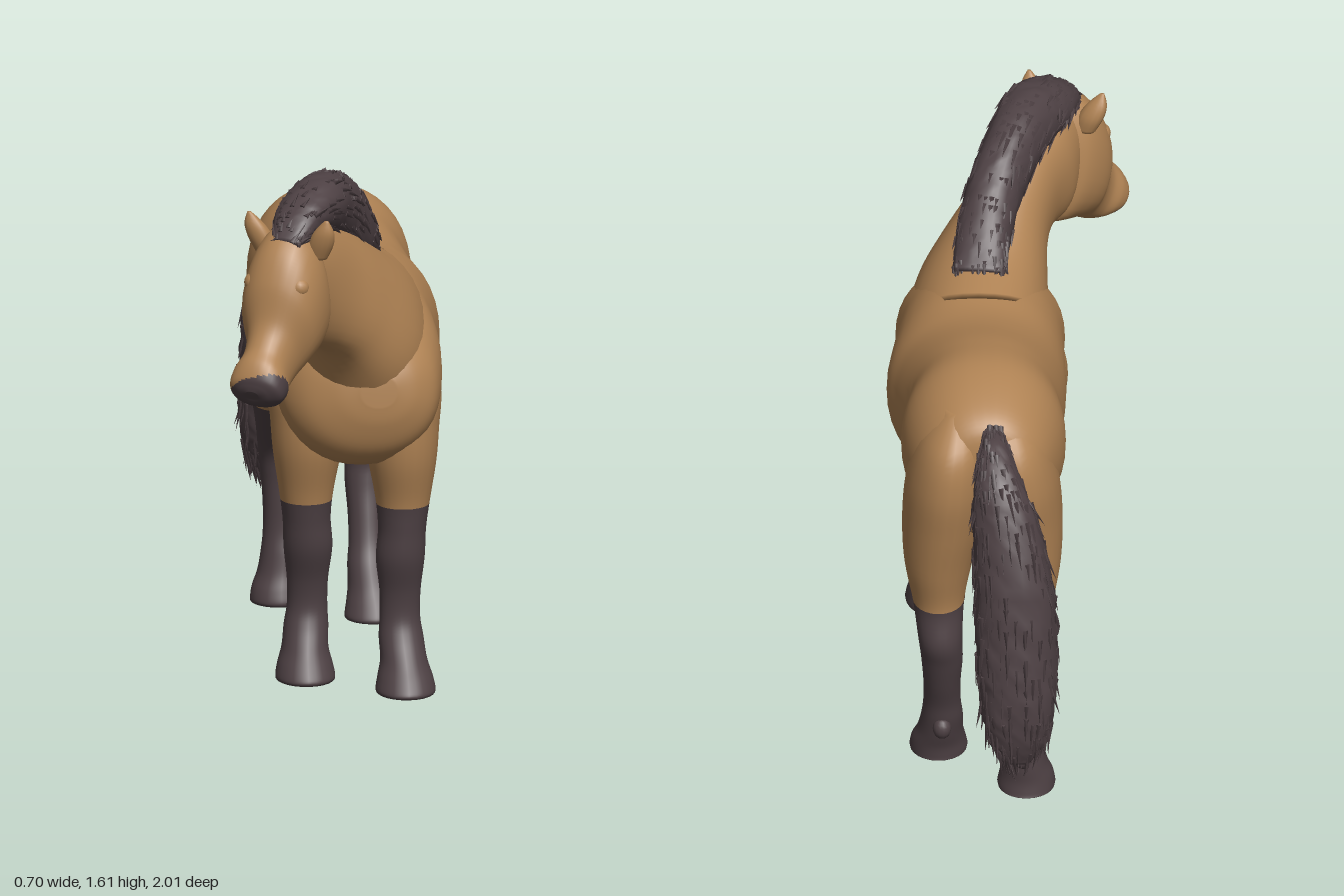
import * as THREE from 'three';
import { mergeGeometries } from 'three/addons/utils/BufferGeometryUtils.js';

const material = (name, color) => Object.assign(new THREE.MeshStandardMaterial({ color }), { name });

// Small seeded random numbers for the hair
let seed = 7;
const rand = () => (seed = (seed * 16807) % 2147483647) / 2147483647;

const spline = (a, b, c, d, t) =>
  0.5 * (2 * b + (c - a) * t + (2 * a - 5 * b + 4 * c - d) * t * t + (3 * b - a - 3 * c + d) * t * t * t);

// Skin over cross-sections [xTop, yTop, zTop, xBottom, yBottom, zBottom, halfWidth, yaw].
// pick(y, z) gives the material index of a patch.
function loft(secs, { n = 32, steps = 6, square = 0.92, rough = 0, pick = () => 0 } = {}) {
  const rings = [];
  for (let i = 0; i < secs.length - 1; i++) {
    const q = [-1, 0, 1, 2].map(k => secs[THREE.MathUtils.clamp(i + k, 0, secs.length - 1)]);
    for (let s = 0; s < steps; s++) rings.push(q[1].map((_, k) => spline(q[0][k], q[1][k], q[2][k], q[3][k], s / steps)));
  }
  rings.push(secs[secs.length - 1]);
  const pos = [], mid = r => [0, 1, 2].map(k => (r[k] + r[k + 3]) / 2);
  const bend = v => Math.sign(v) * Math.abs(v) ** square;
  for (const r of rings) {
    const c = mid(r), u = [Math.cos(r[7]), 0, Math.sin(r[7])];
    for (let j = 0; j < n; j++) {
      const a = (j / n) * Math.PI * 2, f = 1 + rough * (rand() - 0.5) + rough * 0.6 * (j % 2 - 0.5);
      const cv = bend(Math.cos(a)) * f, cu = bend(Math.sin(a)) * r[6] * f;
      for (let k = 0; k < 3; k++) pos.push(c[k] + cv * (r[k] - r[k + 3]) / 2 + cu * u[k]);
    }
  }
  const last = rings.length - 1, end = rings.length * n;
  pos.push(...mid(rings[0]), ...mid(rings[last]));
  const at = i => new THREE.Vector3().fromArray(pos, i * 3);
  const lists = [[], []];
  const patch = (ring, ...tris) => {
    const c = at(ring[0]).add(at(ring[1])).multiplyScalar(0.5);
    lists[pick(c.y, c.z)].push(...tris);
  };
  for (let j = 0; j < n; j++) {
    const k = (j + 1) % n;
    patch([j, k], [end, j, k]);
    patch([last * n + j, last * n + k], [end + 1, last * n + k, last * n + j]);
    for (let i = 0; i < last; i++) {
      const a = i * n + j, b = i * n + k;
      patch([a, b + n], [a, a + n, b], [b, a + n, b + n]);
    }
  }
  // Turn the skin outward whichever way the sections run
  const faces = lists.flat();
  const volume = faces.reduce((v, f) => v + at(f[0]).dot(at(f[1]).cross(at(f[2]))), 0);
  if (volume < 0) faces.forEach(f => f.reverse());
  const geo = new THREE.BufferGeometry();
  geo.setAttribute('position', new THREE.Float32BufferAttribute(pos, 3));
  geo.setIndex(faces.flat());
  geo.addGroup(0, lists[0].length * 3, 0);
  geo.addGroup(lists[0].length * 3, lists[1].length * 3, 1);
  geo.computeVertexNormals();
  geo.userData = { n, count: rings.length };
  return geo;
}

// Pointed locks lying along the surface of a hair loft
function locks(base, total, length, sign) {
  const { n, count } = base.userData, p = base.attributes.position, nor = base.attributes.normal;
  const parts = [], up = new THREE.Vector3(0, 1, 0);
  for (let i = 0; i < total; i++) {
    const v = Math.floor(rand() * (count - 1)) * n + Math.floor(rand() * n);
    const a = new THREE.Vector3().fromBufferAttribute(p, v);
    const out = new THREE.Vector3().fromBufferAttribute(nor, v);
    const dir = new THREE.Vector3().fromBufferAttribute(p, v + n).sub(a).normalize().multiplyScalar(sign);
    dir.y -= 0.35;
    dir.addScaledVector(out, 0.1 + rand() * 0.12).normalize();
    const len = length * (0.6 + rand() * 0.8);
    const lock = new THREE.ConeGeometry(0.009, len, 4);
    lock.applyQuaternion(new THREE.Quaternion().setFromUnitVectors(up, dir));
    a.addScaledVector(dir, len * 0.35).addScaledVector(out, -0.004);
    lock.translate(a.x, a.y, a.z);
    parts.push(lock);
  }
  return mergeGeometries(parts);
}

export function createModel() {
  const horse = new THREE.Group();
  horse.name = 'horse';
  const coat = material('tan coat', 0xb08354), dark = material('dark points', 0x4e4144);
  const add = (name, geo, mat) => {
    const mesh = new THREE.Mesh(geo, mat);
    mesh.name = name;
    horse.add(mesh);
    return mesh;
  };

  // Torso, rump to chest: x, yTop, zTop, yBottom, zBottom, halfWidth
  const torso = [
    [0.05, 1.12, -0.65, 0.96, -0.65, 0.06], [0.06, 1.205, -0.63, 0.87, -0.64, 0.14],
    [0.068, 1.26, -0.55, 0.82, -0.56, 0.2], [0.07, 1.3, -0.4, 0.76, -0.42, 0.238],
    [0.07, 1.285, -0.25, 0.725, -0.25, 0.226], [0.08, 1.25, -0.1, 0.69, -0.1, 0.245],
    [0.09, 1.24, 0, 0.68, 0, 0.26], [0.085, 1.25, 0.11, 0.675, 0.12, 0.252],
    [0.08, 1.25, 0.2, 0.68, 0.26, 0.243], [0.08, 1.22, 0.28, 0.68, 0.37, 0.245],
    [0.085, 1.17, 0.36, 0.695, 0.46, 0.23], [0.1, 1.1, 0.45, 0.75, 0.52, 0.19],
    [0.115, 1.04, 0.515, 0.83, 0.55, 0.12], [0.12, 0.98, 0.548, 0.89, 0.556, 0.05],
  ].map(([x, yt, zt, yb, zb, w]) => [x, yt, zt, x, yb, zb, w, 0]);
  add('torso', loft(torso, { n: 40 }), coat);

  // Neck spreading into the shoulders and turning toward the right
  add('neck', loft([
    [0.085, 1.25, 0.04, 0.1, 0.78, 0.46, 0.215, 0], [0.065, 1.295, 0.22, 0.07, 0.94, 0.545, 0.185, 0.15],
    [0.02, 1.38, 0.4, 0.005, 1.05, 0.6, 0.138, 0.35], [-0.04, 1.45, 0.53, -0.05, 1.1, 0.65, 0.112, 0.45],
    [-0.1, 1.49, 0.65, -0.11, 1.13, 0.7, 0.104, 0.52], [-0.14, 1.49, 0.74, -0.14, 1.18, 0.75, 0.09, 0.55],
  ]), coat);

  // Head, poll to muzzle: yTop, zTop, yBottom, zBottom, halfWidth
  const yaw = 0.55, headX = z => -0.14 - 0.62 * (z - 0.73);
  const head = [
    [1.49, 0.71, 1.16, 0.665, 0.07], [1.505, 0.78, 1.12, 0.685, 0.108], [1.45, 0.84, 1.1, 0.73, 0.12],
    [1.36, 0.88, 1.08, 0.78, 0.112], [1.25, 0.903, 1.05, 0.82, 0.08], [1.19, 0.935, 1.025, 0.855, 0.071],
    [1.15, 0.968, 1.01, 0.89, 0.083], [1.11, 0.985, 1.005, 0.93, 0.08], [1.085, 0.987, 1.02, 0.96, 0.05],
    [1.065, 0.985, 1.04, 0.972, 0.02],
  ].map(([yt, zt, yb, zb, w]) => [headX(zt), yt, zt, headX(zb), yb, zb, w, yaw]);
  const muzzle = (y, z) => (z > 0.87 && y < 1.12 - 0.8 * (1 - z) ? 1 : 0);
  add('headAndMuzzle', loft(head, { pick: muzzle, steps: 8 }), [coat, dark]);

  // Ears, brows and eyes on both sides of the turned head
  for (const side of [1, -1]) {
    const place = (lateral, y, z) => [headX(z) + side * lateral * Math.cos(yaw), y, z + side * lateral * Math.sin(yaw)];
    // y, lateral, depth along the head, half depth, half width
    const ear = [
      [1.41, 0.08, 0.755, 0.024, 0.032], [1.455, 0.097, 0.76, 0.03, 0.038],
      [1.495, 0.112, 0.768, 0.023, 0.03], [1.532, 0.124, 0.776, 0.004, 0.006],
    ].map(([y, lat, depth, d, w]) => {
      const [x, , z] = place(lat, y, depth);
      const fx = -Math.sin(yaw) * d, fz = Math.cos(yaw) * d;
      return [x + fx, y, z + fz, x - fx, y, z - fz, w, yaw];
    });
    add(side > 0 ? 'leftEar' : 'rightEar', loft(ear, { n: 14, steps: 4 }), coat);
    const brow = add('brow', new THREE.SphereGeometry(0.03, 16, 12), coat);
    brow.position.set(...place(0.072, 1.345, 0.838));
    const eye = add('eye', new THREE.SphereGeometry(0.014, 14, 10), dark);
    eye.position.set(...place(0.092, 1.31, 0.835));
  }

  // Legs, top to ground: x, y, zFront, zBack, halfWidth
  const foreleg = [
    [0.18, 1.08, 0.38, 0.2, 0.06], [0.195, 0.97, 0.46, 0.21, 0.11], [0.2, 0.88, 0.495, 0.23, 0.12],
    [0.203, 0.79, 0.5, 0.25, 0.11], [0.205, 0.69, 0.49, 0.265, 0.1], [0.207, 0.57, 0.458, 0.29, 0.08],
    [0.205, 0.48, 0.447, 0.297, 0.07], [0.2, 0.39, 0.44, 0.3, 0.071], [0.2, 0.29, 0.413, 0.312, 0.06],
    [0.2, 0.21, 0.408, 0.305, 0.059], [0.203, 0.15, 0.43, 0.292, 0.065], [0.208, 0.09, 0.47, 0.302, 0.068],
    [0.21, 0.045, 0.505, 0.312, 0.08], [0.21, 0.012, 0.528, 0.314, 0.087], [0.21, 0, 0.525, 0.316, 0.085],
  ];
  const hindleg = [
    [0.14, 1.23, -0.42, -0.58, 0.05], [0.155, 1.13, -0.35, -0.675, 0.1], [0.17, 1.0, -0.31, -0.695, 0.122],
    [0.185, 0.85, -0.305, -0.67, 0.12], [0.2, 0.7, -0.355, -0.635, 0.1], [0.2, 0.57, -0.42, -0.605, 0.075],
    [0.195, 0.46, -0.472, -0.618, 0.064], [0.19, 0.38, -0.468, -0.595, 0.06], [0.19, 0.29, -0.445, -0.565, 0.054],
    [0.19, 0.21, -0.42, -0.535, 0.054], [0.19, 0.15, -0.39, -0.522, 0.06], [0.195, 0.09, -0.36, -0.505, 0.066],
    [0.2, 0.045, -0.33, -0.49, 0.078], [0.2, 0.012, -0.31, -0.485, 0.084], [0.2, 0, -0.312, -0.485, 0.082],
  ];
  const addLeg = (name, profile, mirrored, shift, sock) => {
    const secs = profile.map(([x, y, zf, zb, w]) => {
      const px = mirrored ? 0.146 - x : x, dz = shift(y);
      return [px, y, zf + dz, px, y, zb + dz, w, 0];
    });
    add(name, loft(secs, { n: 24, square: 1, pick: y => (y < sock ? 1 : 0) }), [coat, dark]);
    // Blunt tuft behind the fetlock
    const [x, y, , , , zBack] = secs[10];
    const tuft = add(name + 'Tuft', new THREE.SphereGeometry(0.03, 14, 10), dark);
    tuft.scale.set(0.9, 1.1, 0.9);
    tuft.position.set(x, y - 0.02, zBack + 0.006);
  };
  addLeg('leftForeleg', foreleg, false, () => 0, 0.56);
  addLeg('rightForeleg', foreleg, true, y => -0.175 + 0.05 * Math.min(1, y / 0.6), 0.54);
  addLeg('leftHindleg', hindleg, false, () => 0, 0.58);
  addLeg('rightHindleg', hindleg, true, y => -0.21 * Math.max(0, 1 - y / 0.75), 0.61);

  // Upright mane ending in a short forelock
  const mane = loft([
    [0.085, 1.28, 0.14, 0.08, 1.24, 0.18, 0.075, 0.1], [0.08, 1.355, 0.2, 0.075, 1.24, 0.24, 0.078, 0.2],
    [0.06, 1.455, 0.3, 0.05, 1.28, 0.36, 0.08, 0.3], [0.025, 1.54, 0.4, 0.005, 1.35, 0.46, 0.08, 0.4],
    [-0.015, 1.59, 0.5, -0.035, 1.4, 0.54, 0.082, 0.45], [-0.06, 1.607, 0.62, -0.08, 1.43, 0.62, 0.086, 0.5],
    [-0.115, 1.58, 0.72, -0.125, 1.45, 0.69, 0.08, 0.55], [-0.155, 1.535, 0.785, -0.15, 1.45, 0.76, 0.064, 0.55],
    [-0.185, 1.475, 0.83, -0.175, 1.44, 0.81, 0.045, 0.55],
  ], { rough: 0.06 });
  add('mane', mane, [dark, dark]);
  add('maneLocks', locks(mane, 420, 0.055, -1), dark);

  // Full hanging tail
  const tail = loft([
    [0.04, 1.215, -0.63, 0.04, 1.16, -0.64, 0.03, 0], [0.035, 1.2, -0.72, 0.035, 1.1, -0.69, 0.05, 0],
    [0.02, 1.13, -0.815, 0.02, 1, -0.725, 0.078, 0], [0, 1.03, -0.875, 0, 0.88, -0.735, 0.1, 0],
    [-0.02, 0.85, -0.935, -0.02, 0.75, -0.755, 0.113, 0], [-0.025, 0.65, -0.97, -0.025, 0.58, -0.775, 0.115, 0],
    [-0.03, 0.48, -0.985, -0.03, 0.44, -0.805, 0.108, 0], [-0.03, 0.35, -0.975, -0.03, 0.35, -0.85, 0.085, 0],
    [-0.03, 0.27, -0.95, -0.03, 0.28, -0.9, 0.04, 0],
  ], { rough: 0.08 });
  add('tail', tail, [dark, dark]);
  add('tailLocks', locks(tail, 600, 0.08, 1), dark);
  return horse;
}
